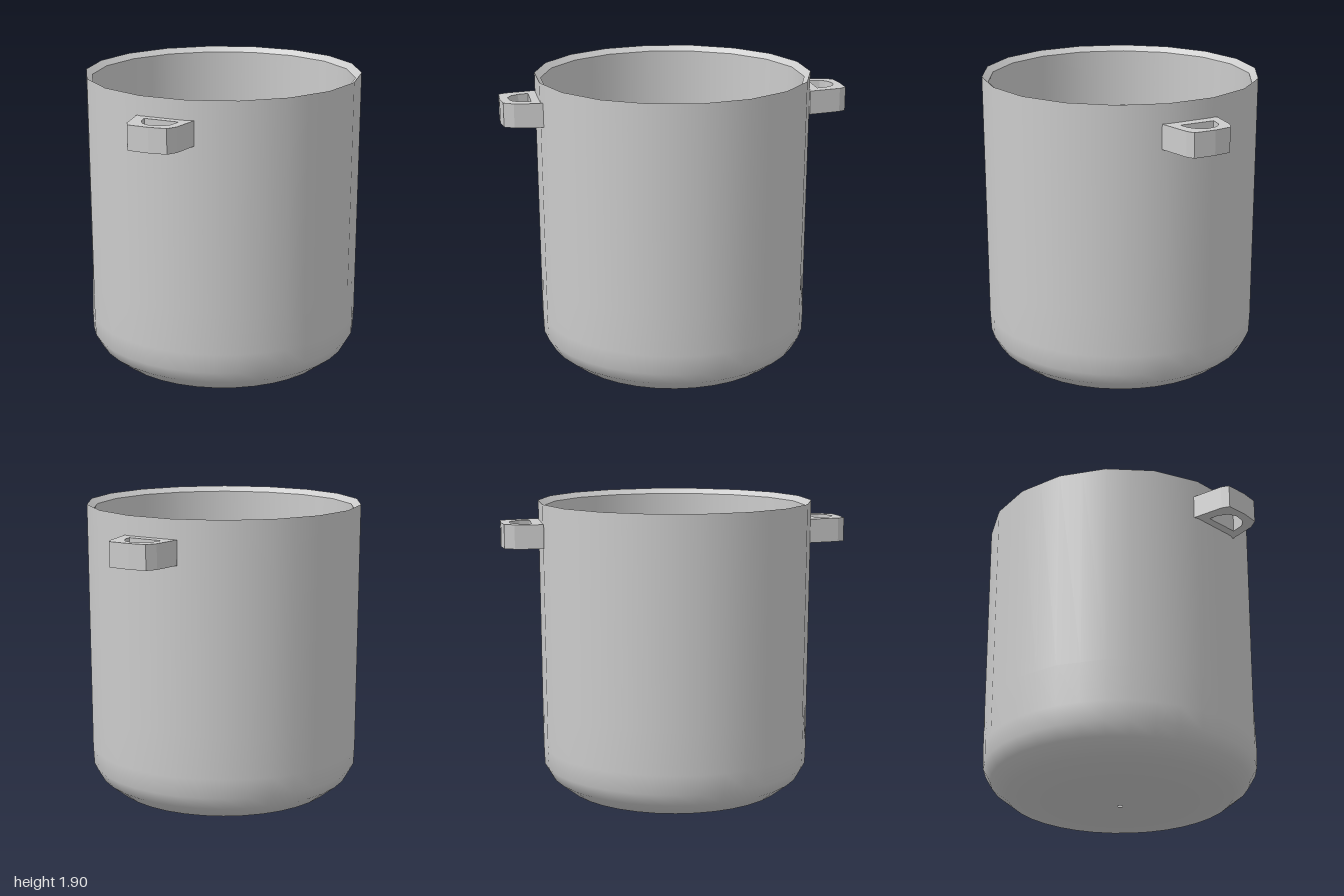
import * as THREE from 'three';

const SIDES = 18;

export function createModel() {
  const group = new THREE.Group();
  const material = new THREE.MeshStandardMaterial({ color: 0xcccccc, side: THREE.DoubleSide });

  const add = (name, geometry) => {
    const mesh = new THREE.Mesh(geometry, material);
    mesh.name = name;
    group.add(mesh);
    return mesh;
  };

  // Round section low down, blending to an 18-sided one higher up
  const turned = (profile) => {
    const points = profile.map(([r, y]) => new THREE.Vector2(r, y));
    const geometry = new THREE.LatheGeometry(points, SIDES * 2);
    const pos = geometry.attributes.position;
    for (let i = 0; i < pos.count; i++) {
      const column = Math.floor(i / points.length);
      const y = pos.getY(i);
      const flat = THREE.MathUtils.smoothstep(y, 0.25, 0.6);
      const k = column % 2 === 0 ? 1 - flat * (1 - Math.cos(Math.PI / SIDES)) : 1;
      pos.setXYZ(i, pos.getX(i) * k - 0.008, y, pos.getZ(i) * k);
    }
    return geometry;
  };

  // Pot body
  add('outerShell', turned([
    [0.015, 0], [0.3, 0.01], [0.52, 0.028], [0.7, 0.057], [0.805, 0.14],
    [0.85, 0.22], [0.856, 0.34], [0.857, 0.6], [0.863, 1.9],
  ]));
  add('rim', turned([[0.863, 1.9], [0.825, 1.867]]));
  add('innerWall', turned([[0.825, 1.867], [0.825, 1.49]]));

  // Inner floor with a small hole a little off the middle
  const floor = turned([[0.825, 1.49], [0.015, 1.49]]);
  const p = floor.attributes.position;
  for (let i = 1; i < p.count; i += 2) p.setXYZ(i, p.getX(i) - 0.03, 1.49, p.getZ(i) + 0.01);
  add('innerFloor', floor);

  // Handle: a flat loop with a D-shaped opening
  const toVectors = (list) => list.map(([x, z]) => new THREE.Vector2(x, -z));
  const loop = new THREE.Shape(toVectors([
    [0.635, -0.58], [0.8, -0.647], [0.87, -0.647], [0.936, -0.56],
    [1, -0.44], [0.973, -0.396], [0.815, -0.26],
  ]));
  loop.holes.push(new THREE.Path(toVectors([
    [0.727, -0.556], [0.8, -0.583], [0.838, -0.577], [0.868, -0.56], [0.904, -0.513],
    [0.909, -0.46], [0.882, -0.406], [0.834, -0.364],
  ])));
  const handle = new THREE.ExtrudeGeometry(loop, { depth: 0.15, bevelEnabled: false });
  handle.rotateX(-Math.PI / 2).translate(0, 1.63, 0);
  add('leftHandle', handle);
  add('rightHandle', handle).rotation.y = Math.PI;

  return group;
}
